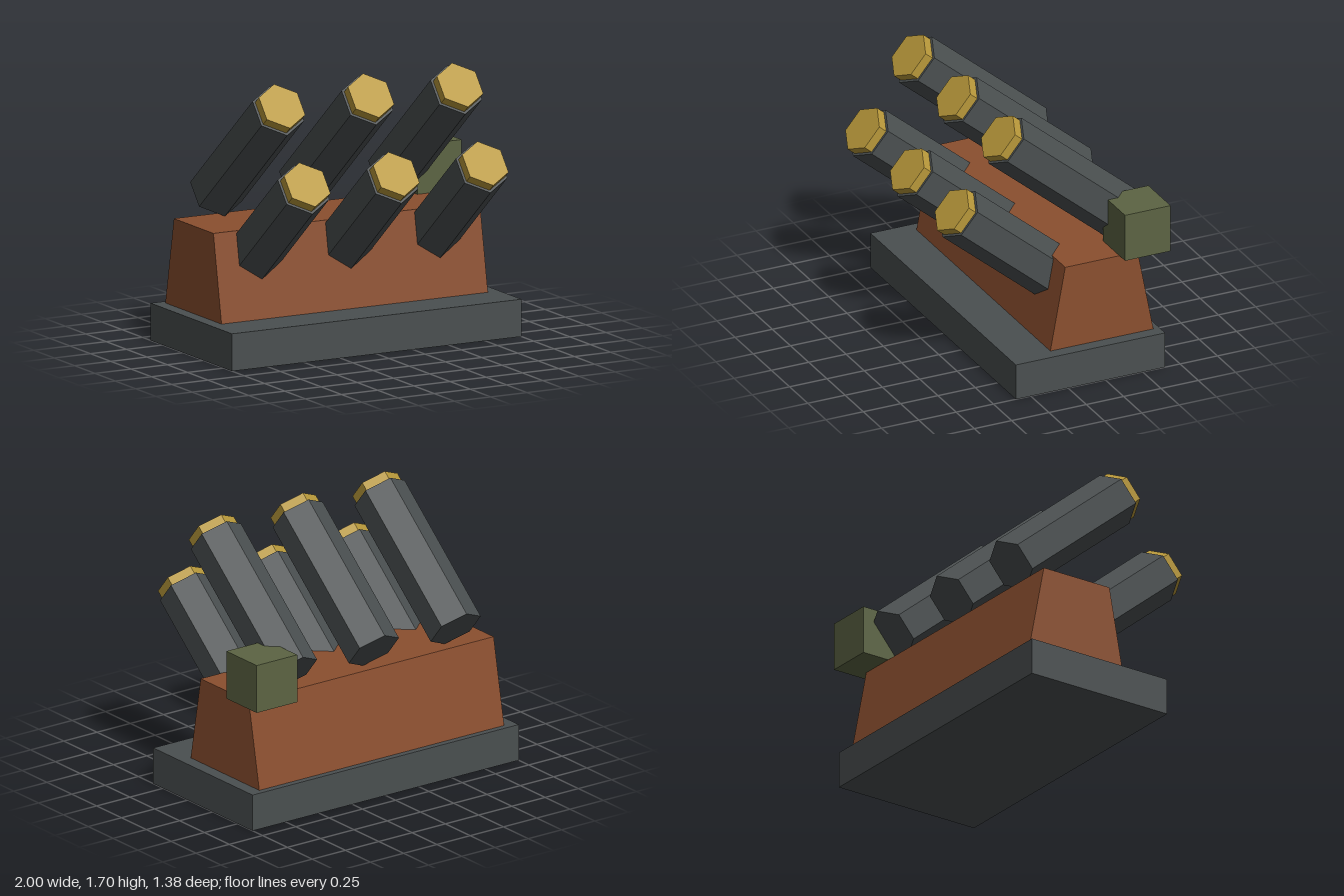
import * as THREE from 'three';

const mat = (name, color) => {
  const m = new THREE.MeshStandardMaterial({ color, flatShading: true });
  m.name = name;
  return m;
};

export function createModel() {
  const model = new THREE.Group();
  const steel = mat('dark steel', 0x4a4f50);
  const rust = mat('rust brown', 0x8b4f2f);
  const olive = mat('olive', 0x5c6443);
  const brass = mat('brass', 0xb8983a);

  const add = (parent, name, geometry, material, x, y, z) => {
    const mesh = new THREE.Mesh(geometry, material);
    mesh.name = name;
    mesh.position.set(x, y, z);
    parent.add(mesh);
    return mesh;
  };

  // Base slab
  add(model, 'base', new THREE.BoxGeometry(2, 0.23, 1), steel, 0, 0.115, -0.15);

  // Tapered body: profile in (z, y), extruded across x
  const profile = new THREE.Shape([
    new THREE.Vector2(0.08, 0.23), new THREE.Vector2(-0.02, 0.77),
    new THREE.Vector2(-0.505, 0.77), new THREE.Vector2(-0.61, 0.23),
  ]);
  const bodyGeo = new THREE.ExtrudeGeometry(profile, { depth: 1.84, bevelEnabled: false });
  bodyGeo.translate(0, 0, -0.92).rotateY(-Math.PI / 2);
  add(model, 'body', bodyGeo, rust, 0, 0, 0);

  // Control box on the rear corner
  add(model, 'controlBox', new THREE.BoxGeometry(0.305, 0.305, 0.305), olive, 0.845, 0.9225, -0.535);

  // Two rows of three hexagonal tubes, aimed 40 degrees up; [y, z] is the muzzle centre
  const tubeGeo = new THREE.CylinderGeometry(0.17, 0.17, 1, 6);
  const capGeo = new THREE.CylinderGeometry(0.153, 0.153, 0.08, 6);
  for (const [row, y, z] of [['upper', 1.54, 0.235], ['lower', 1.115, 0.545]]) {
    for (const x of [-0.615, 0, 0.615]) {
      const launcher = new THREE.Group();
      launcher.name = row + 'Launcher';
      launcher.position.set(x, y, z);
      launcher.rotation.x = THREE.MathUtils.degToRad(50);
      add(launcher, 'tube', tubeGeo, steel, 0, -0.5, 0);
      add(launcher, 'cap', capGeo, brass, 0, 0.02, 0);
      model.add(launcher);
    }
  }
  return model;
}
